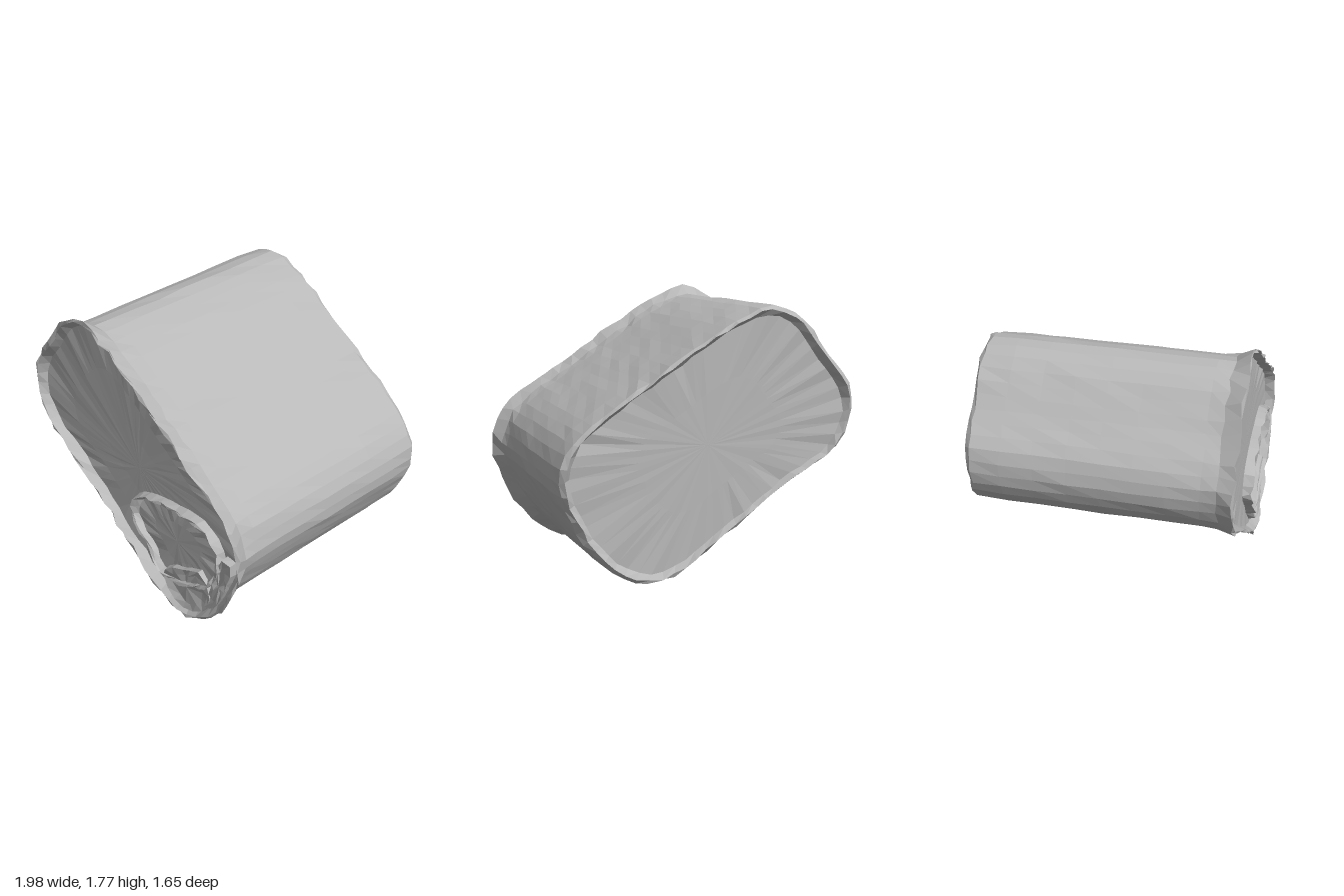
import * as THREE from 'three';

// Small repeatable noise in -1..1
function makeNoise(seed) {
  let s = seed;
  return () => {
    s = (s * 16807) % 2147483647;
    return (s / 2147483647) * 2 - 1;
  };
}

// Closed outline, clockwise as seen from the front
function outline(points, count) {
  const curve = new THREE.CatmullRomCurve3(
    points.map(([x, y]) => new THREE.Vector3(x, y, 0)), true, 'centripetal');
  return curve.getSpacedPoints(count).slice(0, count);
}

// Skin through scaled copies of an outline; each ring is [scaleX, scaleY, z, roughness, shiftX]
function loft(loop, cx, cy, rings, seed) {
  const noise = makeNoise(seed), n = loop.length, pos = [], index = [];
  for (const [sx, sy, z, rough = 0, dx = 0] of rings) {
    for (const p of loop) {
      pos.push(cx + (p.x - cx) * sx + dx + noise() * rough,
        cy + (p.y - cy) * sy + noise() * rough, z + noise() * rough * 1.5);
    }
  }
  for (let r = 0; r < rings.length - 1; r++) {
    for (let i = 0; i < n; i++) {
      const j = (i + 1) % n, a = r * n + i, b = r * n + j, c = a + n, d = b + n;
      if (rings[r][0]) index.push(a, c, b);
      if (rings[r + 1][0]) index.push(b, c, d);
    }
  }
  const indexed = new THREE.BufferGeometry();
  indexed.setAttribute('position', new THREE.Float32BufferAttribute(pos, 3));
  indexed.setIndex(index);
  const geometry = indexed.toNonIndexed(); // faceted
  geometry.computeVertexNormals();
  return geometry;
}

export function createModel() {
  const group = new THREE.Group();
  const grey = new THREE.MeshStandardMaterial({ color: 0xb8b8b8 });
  grey.name = 'stone grey';

  const add = (name, geometry) => {
    const mesh = new THREE.Mesh(geometry, grey);
    mesh.name = name;
    group.add(mesh);
  };

  // Slanted rounded block: recessed back face, sides, flared front rim, shallow front recess
  const bodyLoop = outline([
    [-0.42, 1.79], [-0.28, 1.75], [-0.1, 1.66], [0.2, 1.46], [0.5, 1.26], [0.86, 1.0],
    [0.97, 0.84], [1.0, 0.65], [0.93, 0.46], [0.85, 0.3], [0.72, 0.14], [0.58, 0.04],
    [0.42, 0], [0.23, 0.05], [0, 0.21], [-0.3, 0.43], [-0.6, 0.65], [-0.84, 0.79],
    [-0.94, 0.9], [-1.0, 1.06], [-0.98, 1.24], [-0.82, 1.46], [-0.6, 1.73]], 64);
  const side = [];
  for (let z = -0.6; z < 0.65; z += 0.2) side.push([0.935, 0.92, z, 0.004, -0.015]);
  add('body', loft(bodyLoop, 0, 0.89, [
    [0, 0, -0.775],
    [0.45, 0.45, -0.775, 0.001, -0.015],
    [0.87, 0.85, -0.775, 0.006, -0.015],
    [0.905, 0.89, -0.815, 0.009, -0.015],
    [0.93, 0.915, -0.785, 0.009, -0.015],
    ...side,
    [0.94, 0.925, 0.7, 0.01, -0.01],
    [0.99, 0.99, 0.8, 0.01],
    [0.97, 0.965, 0.805, 0.009],
    [0.935, 0.925, 0.745, 0.006],
    [0.65, 0.65, 0.742, 0.001],
    [0.3, 0.3, 0.74, 0.0005],
    [0, 0, 0.74]], 71));

  // Raised oval lip with a sunken centre
  const lipLoop = outline([
    [-0.05, 0.54], [0.01, 0.7], [0.2, 0.78], [0.45, 0.83], [0.64, 0.83], [0.79, 0.72],
    [0.79, 0.55], [0.7, 0.4], [0.58, 0.3], [0.42, 0.23], [0.25, 0.2], [0.1, 0.36]], 32);
  add('ovalLip', loft(lipLoop, 0.37, 0.53, [
    [1.02, 1.02, 0.73, 0.006],
    [0.98, 0.98, 0.8, 0.009],
    [0.93, 0.93, 0.795, 0.009],
    [0.88, 0.88, 0.755, 0.006],
    [0.5, 0.5, 0.755, 0.001],
    [0, 0, 0.755]], 19));

  // Lumpy ridge below the oval, reaching the bottom rim
  const lumpLoop = outline([
    [0.24, 0.2], [0.32, 0.32], [0.46, 0.38], [0.62, 0.46], [0.71, 0.34],
    [0.66, 0.17], [0.53, 0.07], [0.36, 0.08]], 14);
  add('lowerLump', loft(lumpLoop, 0.47, 0.23, [
    [1.02, 1.02, 0.73, 0.006],
    [0.95, 0.95, 0.795, 0.008],
    [0.65, 0.65, 0.78, 0.008],
    [0, 0, 0.775]], 37));

  // Thickened rim at the lower right corner
  const cornerLoop = outline([
    [0.79, 0.62], [0.84, 0.72], [0.9, 0.7], [0.9, 0.6], [0.83, 0.43],
    [0.75, 0.27], [0.66, 0.17], [0.64, 0.22], [0.72, 0.4]], 14);
  add('cornerRim', loft(cornerLoop, 0.79, 0.46, [
    [1, 1, 0.735, 0.004],
    [0.95, 0.97, 0.79, 0.006],
    [0.5, 0.6, 0.785, 0.006],
    [0, 0, 0.785]], 53));

  return group;
}
